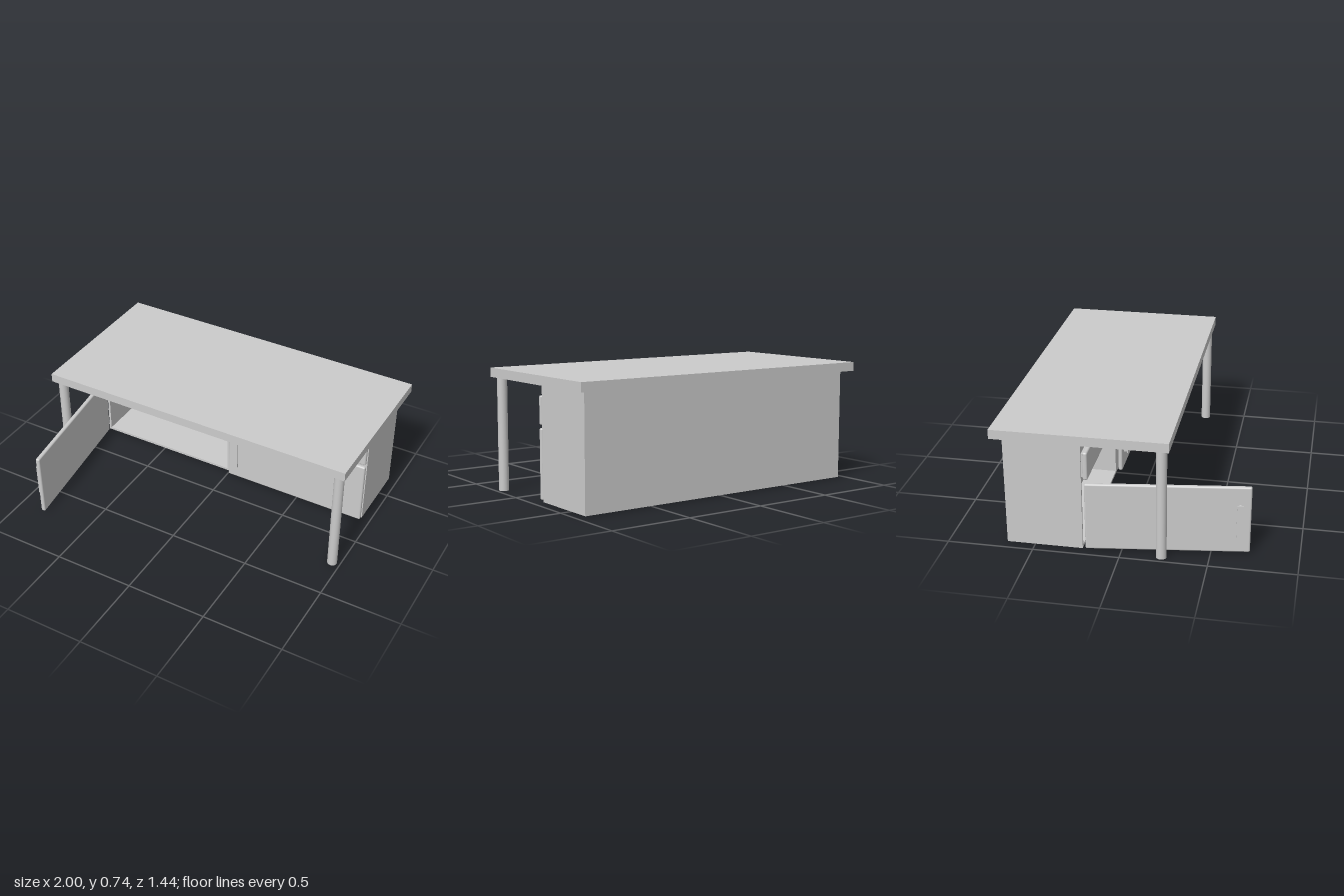
import * as THREE from 'three';
import { RoundedBoxGeometry } from 'three/addons/geometries/RoundedBoxGeometry.js';

const material = new THREE.MeshStandardMaterial({ color: 0xcccccc });

function add(parent, name, geometry, x, y, z) {
  const mesh = new THREE.Mesh(geometry, material);
  mesh.name = name;
  mesh.position.set(x, y, z);
  parent.add(mesh);
  return mesh;
}

// Box given by its lower and upper corners
function slab(parent, name, x0, x1, y0, y1, z0, z1) {
  return add(parent, name, new THREE.BoxGeometry(x1 - x0, y1 - y0, z1 - z0),
    (x0 + x1) / 2, (y0 + y1) / 2, (z0 + z1) / 2);
}

// Panel with softened edges, its back on z = 0
function panel(parent, name, x0, x1, y0, y1, thickness) {
  return add(parent, name, new RoundedBoxGeometry(x1 - x0, y1 - y0, thickness, 3, 0.01),
    (x0 + x1) / 2, (y0 + y1) / 2, thickness / 2);
}

// Flat bar on two posts, lying along x, standing off the plane z = 0
function handle(length, width) {
  const group = new THREE.Group();
  group.name = 'handle';
  slab(group, 'handleBar', -length / 2, length / 2, -width / 2, width / 2, 0.021, 0.03);
  for (const s of [-1, 1]) {
    const x = s * (length / 2 - 0.012);
    slab(group, 'handlePost', x - 0.006, x + 0.006, -0.006, 0.006, -0.002, 0.022);
  }
  return group;
}

const THICK = 0.027;
const FRONT = -0.21; // back plane of the doors and drawer fronts

// Door running from its hinge at x = 0 along x, side = +1 or -1
function door(name, width, side) {
  const group = new THREE.Group();
  group.name = name;
  panel(group, name + 'Panel', side > 0 ? 0 : -width, side > 0 ? width : 0, 0.012, 0.425, THICK);
  const grip = handle(0.208, 0.035);
  grip.rotation.z = Math.PI / 2;
  grip.position.set(side * (width - 0.064), 0.22, THICK);
  group.add(grip);
  return group;
}

function drawer(name, x0, x1, handleX) {
  const group = new THREE.Group();
  group.name = name;
  panel(group, name + 'Front', x0, x1, 0.443, 0.611, THICK);
  slab(group, name + 'Backing', x0 + 0.012, x1 - 0.012, 0.455, 0.6, -0.012, 0.002);
  const grip = handle(0.136, 0.026);
  grip.position.set(handleX, 0.528, THICK);
  group.add(grip);
  group.position.z = FRONT;
  return group;
}

export function createModel() {
  const desk = new THREE.Group();
  desk.name = 'desk';

  slab(desk, 'tableTop', -1, 1, 0.68, 0.735, -0.72, 0.28);

  // Front legs
  for (const s of [-1, 1]) {
    add(desk, 'leg', new THREE.CylinderGeometry(0.03, 0.03, 0.68, 32), s * 0.95, 0.34, 0.233);
  }

  // Cabinet: closed upper and left blocks, open compartment on the right
  const cabinet = new THREE.Group();
  cabinet.name = 'cabinet';
  desk.add(cabinet);
  const W = 0.945, back = -0.662, front = -0.22;
  slab(cabinet, 'drawerCase', -W, W, 0.415, 0.68, back, front);
  slab(cabinet, 'closedCompartment', -0.018, W, 0.005, 0.415, back, front);
  slab(cabinet, 'compartmentFloor', -W, -0.018, 0.005, 0.02, back, front);
  slab(cabinet, 'compartmentSide', -W, -W + 0.015, 0.02, 0.415, back, front);
  slab(cabinet, 'compartmentBack', -W + 0.015, -0.018, 0.02, 0.415, back, back + 0.02);

  // Drawers
  desk.add(drawer('rightDrawer', -W, -0.012, -0.49));
  desk.add(drawer('leftDrawer', 0.01, W, 0.458));

  // Closed door on the left, open door on the right
  const closed = door('leftDoor', W - 0.01, -1);
  closed.position.set(W, 0, FRONT);
  desk.add(closed);
  const open = door('rightDoor', 0.93, 1);
  open.position.set(-0.933, 0, -0.205);
  open.rotation.y = -THREE.MathUtils.degToRad(82.4);
  desk.add(open);

  return desk;
}
